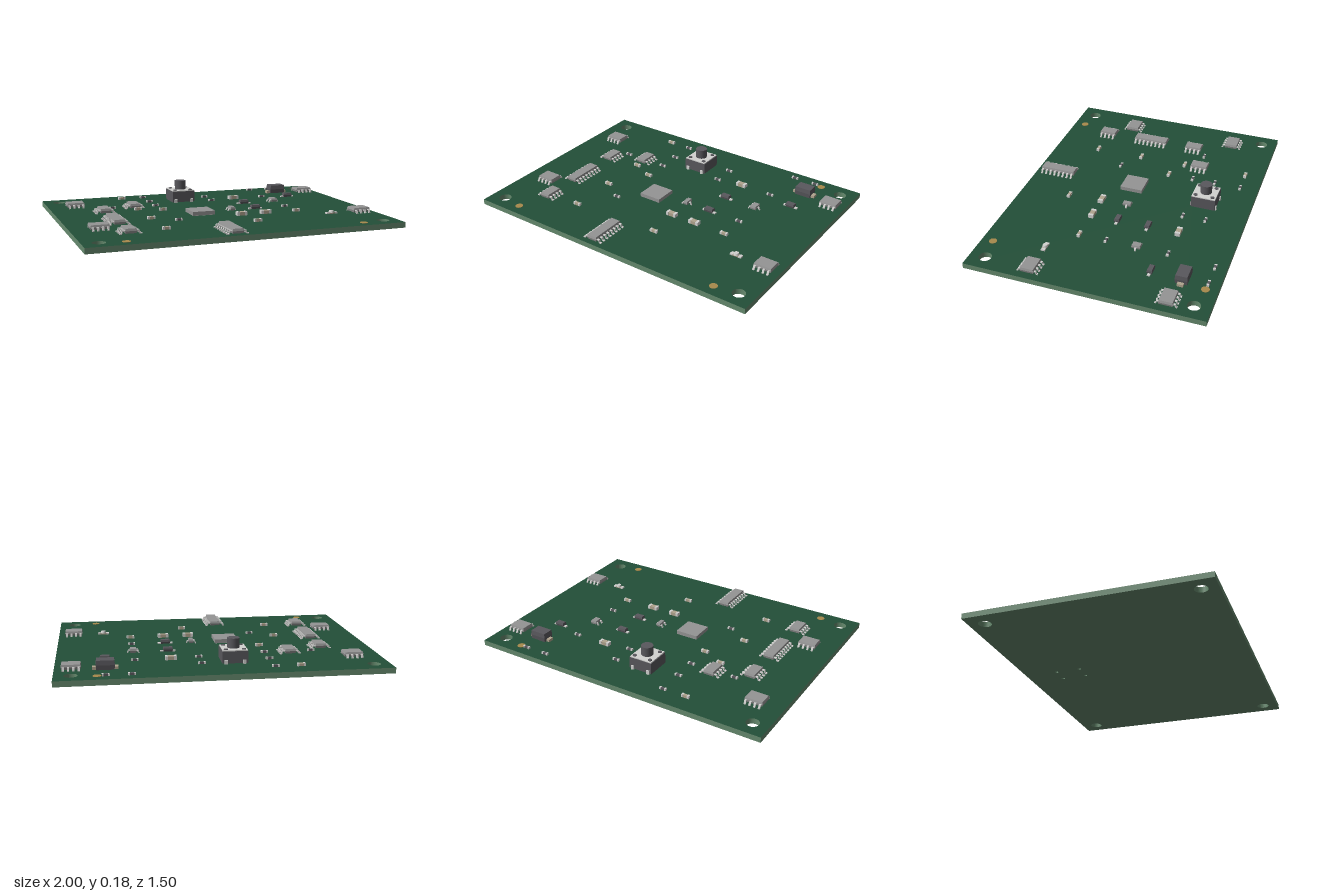
import * as THREE from 'three';

const mat = (name, color, side = THREE.FrontSide) => {
  const m = new THREE.MeshStandardMaterial({ color, side });
  m.name = name;
  return m;
};
const M = {
  mask: mat('green solder mask', 0x234f38),
  core: mat('board core', 0x668a6e),
  chip: mat('chip grey', 0x959595),
  metal: mat('tinned metal', 0xd2d2d0),
  dark: mat('dark plastic', 0x59585d),
  gold: mat('gold pad', 0xa88a4c),
  tan: mat('ceramic tan', 0xb0a48e),
};
const TOP = 0.035;

function add(parent, name, geo, material, x = 0, y = 0, z = 0) {
  const m = new THREE.Mesh(geo, material);
  m.name = name;
  m.position.set(x, y, z);
  parent.add(m);
  return m;
}
const box = (parent, name, w, h, d, material, x, y, z) =>
  add(parent, name, new THREE.BoxGeometry(w, h, d), material, x, y + h / 2, z);

function place(root, name, x, z, turned = false) {
  const g = new THREE.Group();
  g.name = name;
  g.position.set(x, TOP, z);
  if (turned) g.rotation.y = Math.PI / 2;
  root.add(g);
  return g;
}

// Moulded body: widest at mid height, drawn in by t at top and bottom
function mouldedBox(w, h, d, t) {
  const geo = new THREE.BoxGeometry(w, h, d, 1, 2, 1);
  const p = geo.attributes.position;
  for (let i = 0; i < p.count; i++) {
    if (Math.abs(p.getY(i)) < 1e-6) continue;
    p.setX(i, p.getX(i) - Math.sign(p.getX(i)) * t);
    p.setZ(i, p.getZ(i) - Math.sign(p.getZ(i)) * t);
  }
  const flat = geo.toNonIndexed();
  flat.computeVertexNormals();
  return flat;
}

// Gull-wing lead running out along +x from the body edge at x0 to x1
function leadGeometry(x0, x1, width, rise) {
  const k = x0 + (x1 - x0) * 0.45, t = 0.006;
  const s = new THREE.Shape([
    [x0 - 0.004, rise], [k - 0.003, rise], [k + 0.003, 0], [x1, 0],
    [x1, t], [k + 0.007, t], [k + 0.002, rise + t], [x0 - 0.004, rise + t],
  ].map(([x, y]) => new THREE.Vector2(x, y)));
  const g = new THREE.ExtrudeGeometry(s, { depth: width, bevelEnabled: false });
  return g.translate(0, 0, -width / 2);
}

// Chip with rows of leads on its +x and -x sides
function leadedChip(root, name, x, z, turned, pins, bodyW, span, material = M.chip) {
  const g = place(root, name, x, z, turned);
  const pitch = 0.0305;
  add(g, 'chipBody', mouldedBox(bodyW, 0.029, pins * pitch - 0.004, 0.004), material, 0, 0.0195, 0);
  const lead = leadGeometry(bodyW / 2, span / 2, 0.013, 0.016);
  for (let i = 0; i < pins; i++) {
    const lz = (i - (pins - 1) / 2) * pitch;
    add(g, 'lead', lead, M.metal, 0, 0, lz);
    add(g, 'lead', lead, M.metal, 0, 0, -lz).rotation.y = Math.PI;
  }
}

// Small three-lead transistor
function transistor(root, x, z, w, d) {
  const g = place(root, 'transistor', x, z);
  add(g, 'transistorBody', mouldedBox(w, 0.024, d, 0.003), M.chip, 0, 0.016, 0);
  const lead = leadGeometry(w / 2, w / 2 + 0.016, 0.011, 0.012);
  for (const s of [-1, 1]) add(g, 'lead', lead, M.metal, 0, 0, s * d * 0.33).rotation.y = Math.PI;
  add(g, 'lead', lead, M.metal);
}

// Chip resistor or capacitor with metal end caps
function passive(root, name, x, z, w, h, d, material) {
  const g = place(root, name, x, z);
  const cap = w * 0.24;
  box(g, 'passiveBody', w - cap * 2, h * 0.94, d * 0.96, material, 0, 0, 0);
  for (const s of [-1, 1]) box(g, 'endCap', cap, h, d, M.metal, s * (w - cap) / 2, 0, 0);
}

// Moulded diode with a flat tab at each end
function diode(root, x, z, w, h, d, span, tabMaterial) {
  const g = place(root, 'diode', x, z);
  add(g, 'diodeBody', mouldedBox(w, h, d, 0.003), M.dark, 0, h / 2 + 0.002, 0);
  for (const s of [-1, 1])
    box(g, 'diodeTab', (span - w) / 2 + 0.006, h * 0.3, d * 0.5, tabMaterial, s * (span + w - 0.006) / 4, 0, 0);
}

function board(root) {
  const s = new THREE.Shape([[-1, -0.75], [1, -0.75], [1, 0.75], [-1, 0.75]].map((p) => new THREE.Vector2(...p)));
  const hole = (x, z, r) => s.holes.push(new THREE.Path().absarc(x, -z, r, 0, Math.PI * 2, true));
  for (const i of [-1, 1]) for (const j of [-1, 1]) {
    hole(i * 0.9, j * 0.65, 0.04);
    hole(-0.075 + i * 0.056, -0.452 + j * 0.08, 0.012);
  }
  const layer = (name, depth, y, face) => {
    const geo = new THREE.ExtrudeGeometry(s, { depth, bevelEnabled: false, curveSegments: 24 });
    add(root, name, geo.rotateX(-Math.PI / 2), [face, M.core], 0, y, 0);
  };
  layer('boardCore', TOP - 0.002, 0, M.core);
  layer('solderMask', 0.002, TOP - 0.002, M.mask);
  for (const [x, z] of [[0.75, -0.675], [-0.75, 0.675], [0.75, 0.675]])
    add(root, 'alignmentPad', new THREE.CylinderGeometry(0.025, 0.025, 0.002, 24), M.gold, x, TOP + 0.001, z);
}

function pushButton(root) {
  const g = place(root, 'pushButton', -0.075, -0.452);
  box(g, 'switchBody', 0.158, 0.074, 0.16, M.dark, 0, 0.003, 0);
  box(g, 'switchPlate', 0.152, 0.006, 0.156, M.metal, 0, 0.077, 0);
  add(g, 'plunger', new THREE.CylinderGeometry(0.038, 0.038, 0.061, 32), M.dark, 0, 0.1135, 0);
  for (const i of [-1, 1]) for (const j of [-1, 1]) {
    add(g, 'rivet', new THREE.CylinderGeometry(0.013, 0.013, 0.008, 16), M.dark, i * 0.055, 0.083, j * 0.056);
    box(g, 'switchLeg', 0.02, 0.04, 0.007, M.metal, i * 0.056, -0.015, j * 0.083);
  }
}

export function createModel() {
  const root = new THREE.Group();
  root.name = 'circuitBoard';
  board(root);
  pushButton(root);

  // Leaded chips
  for (const [x, z] of [[-0.825, -0.45], [-0.825, 0.3], [0.9, -0.5], [0.9, 0.35]])
    leadedChip(root, 'eightPinChip', x, z, true, 4, 0.09, 0.134);
  for (const [x, z] of [[-0.68, -0.2], [-0.68, 0.45], [-0.455, -0.305]])
    leadedChip(root, 'eightPinChip', x, z, false, 4, 0.072, 0.136);
  for (const [x, z] of [[-0.68, 0.12], [-0.1, 0.6]])
    leadedChip(root, 'sixteenPinChip', x, z, false, 8, 0.072, 0.136);

  // Leadless processor
  const cpu = place(root, 'processor', -0.1, 0.05);
  box(cpu, 'processorBody', 0.15, 0.025, 0.15, M.chip, 0, 0.002, 0);
  box(cpu, 'processorPads', 0.144, 0.003, 0.144, M.metal, 0, 0, 0);

  transistor(root, 0.13, 0.02, 0.032, 0.058);
  transistor(root, 0.52, -0.18, 0.044, 0.058);

  // Diodes
  for (const [x, z] of [[0.3, -0.18], [0.3, 0.022], [0.7, -0.33]])
    diode(root, x, z, 0.062, 0.026, 0.036, 0.094, M.metal);
  diode(root, 0.7, -0.53, 0.112, 0.057, 0.078, 0.15, M.tan);

  // Resistors and capacitors by size
  for (const [x, z] of [[-0.3, -0.63], [-0.3, -0.455], [-0.3, -0.3], [-0.6, -0.3], [-0.3, 0.22], [0.125, -0.505],
    [0.125, -0.355], [0.55, -0.68], [0.7, -0.68], [0.52, -0.38], [0.52, 0.02]])
    passive(root, 'smallResistor', x, z, 0.045, 0.014, 0.016, M.dark);
  for (const [x, z] of [[-0.455, -0.63], [-0.3, -0.13], [-0.45, -0.2], [-0.45, 0.12], [-0.45, 0.445], [0.15, 0.42], [0.52, 0.197]])
    passive(root, 'capacitor', x, z, 0.05, 0.018, 0.02, M.tan);
  for (const [x, z] of [[0.3, -0.38], [0.13, 0.197], [0.3, 0.197]])
    passive(root, 'largeCapacitor', x, z, 0.07, 0.024, 0.034, M.tan);

  // Indicator lamp
  passive(root, 'indicatorLamp', 0.7, 0.347, 0.076, 0.01, 0.026, M.tan);
  add(root, 'lampLens', new THREE.CylinderGeometry(0.014, 0.018, 0.014, 20), M.metal, 0.7, TOP + 0.015, 0.347);
  return root;
}
